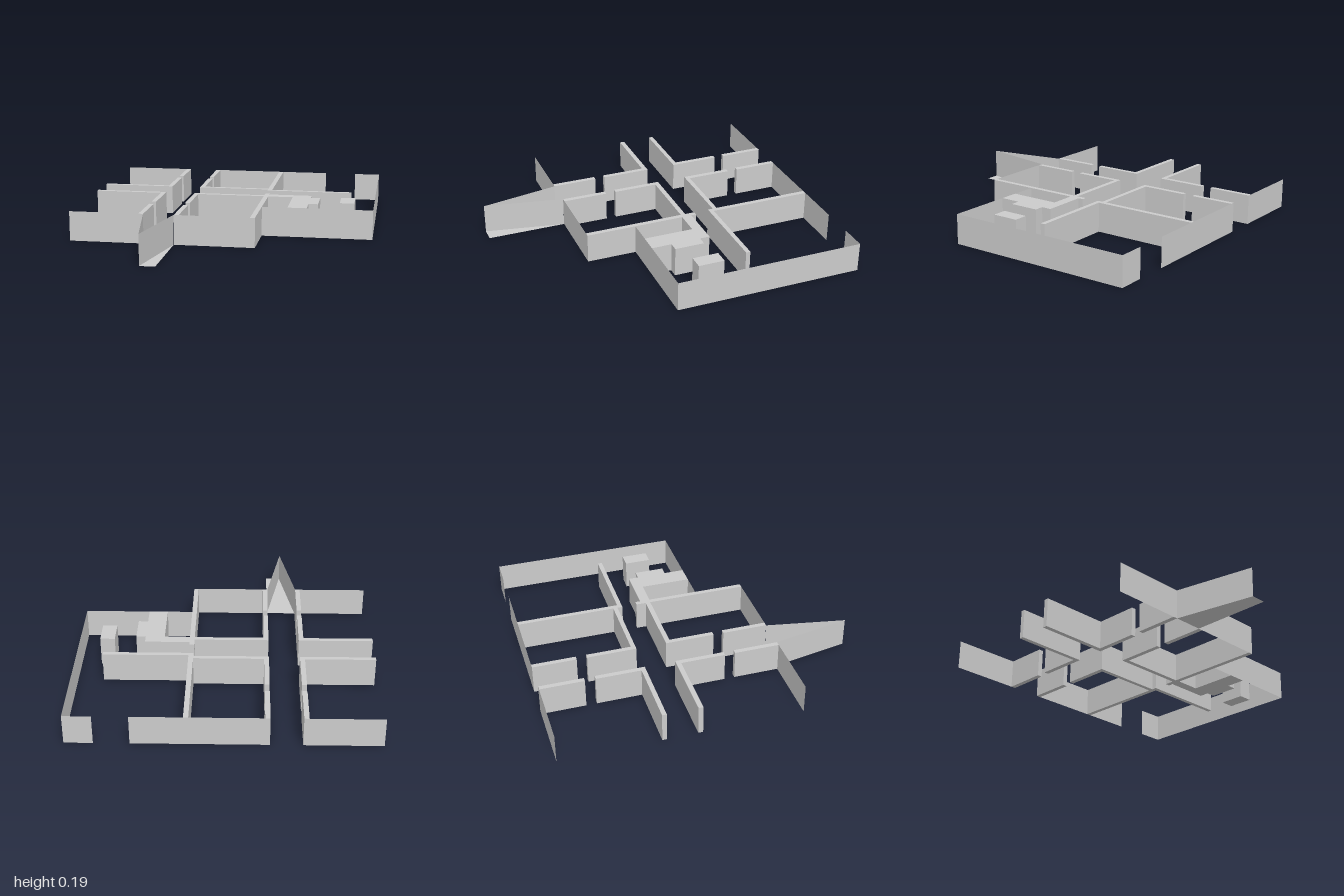
import * as THREE from 'three';

const H = 0.186; // common wall height

export function createModel() {
  const model = new THREE.Group();
  model.name = 'floorPlan';
  const mat = new THREE.MeshStandardMaterial({ color: 0xcccccc, flatShading: true });
  const thin = new THREE.MeshStandardMaterial({ color: 0xcccccc, flatShading: true, side: THREE.DoubleSide });

  const add = (name, geometry, material = mat) => {
    const mesh = new THREE.Mesh(geometry, material);
    mesh.name = name;
    model.add(mesh);
    return mesh;
  };
  // Full-height box over a plan rectangle
  const block = (name, x0, x1, z0, z1) =>
    add(name, new THREE.BoxGeometry(x1 - x0, H, z1 - z0))
      .position.set((x0 + x1) / 2, H / 2, (z0 + z1) / 2);
  // Plan outline as a shape; shape y is -z
  const plan = (points) => new THREE.Shape(points.map(([x, z]) => new THREE.Vector2(x, -z)));
  // Sheet wall without thickness between two plan points
  const sheet = (name, x0, z0, x1, z1) => {
    const wall = add(name, new THREE.PlaneGeometry(Math.hypot(x1 - x0, z1 - z0), H), thin);
    wall.position.set((x0 + x1) / 2, H / 2, (z0 + z1) / 2);
    wall.rotation.y = -Math.atan2(z1 - z0, x1 - x0);
  };

  // Corridor walls with door gaps, the same on both sides
  for (const x of [-0.485, -0.265])
    for (const [z0, z1] of [[-1, -0.725], [-0.66, -0.35], [-0.16, 0.15], [0.215, 0.5]])
      block('corridorWall', x, x + 0.03, z0, z1);

  // Cross passage walls
  for (const [x0, x1] of [[-0.92, -0.485], [-0.235, 0.2]]) {
    block('backPassageWall', x0, x1, -0.378, -0.35);
    block('frontPassageWall', x0, x1, -0.16, -0.13);
  }

  // Long dividing wall and the branch into the large room
  block('backDividingWall', 0.2, 0.23, -1, -0.317);
  block('frontDividingWall', 0.2, 0.23, -0.222, 0.5);
  block('branchWall', 0.23, 0.76, -0.345, -0.317);

  // Stepped counter and free-standing block
  const counter = add('steppedCounter', new THREE.ExtrudeGeometry(plan([
    [0.23, -0.19], [0.51, -0.19], [0.51, -0.127], [0.57, -0.127], [0.57, 0.06],
    [0.51, 0.06], [0.51, 0.187], [0.39, 0.187], [0.39, -0.127], [0.23, -0.127],
  ]), { depth: H, bevelEnabled: false }));
  counter.rotation.x = -Math.PI / 2;
  block('freeStandingBlock', 0.703, 0.795, -0.16, 0.005);

  // Outer sheet walls
  sheet('backWall', -0.92, -1, -0.485, -1);
  sheet('backWall', -0.235, -1, 0.2, -1);
  sheet('backWall', 0.23, -1, 0.54, -1);
  sheet('backWall', 0.75, -1, 0.92, -1);
  sheet('sideWall', 0.92, -1, 0.92, 0.187);
  sheet('frontWall', 0.23, 0.187, 0.92, 0.187);
  sheet('frontWall', -0.92, 0.5, -0.485, 0.5);
  sheet('frontWall', -0.235, 0.5, 0.2, 0.5);

  // Porch: floor plate with two sheet walls meeting at the tip
  const floor = add('porchFloor', new THREE.ShapeGeometry(plan([
    [-0.455, 0.5], [-0.267, 0.5], [-0.267, 1], [-0.36, 1],
  ])), thin);
  floor.rotation.x = -Math.PI / 2;
  sheet('porchWall', -0.455, 0.5, -0.36, 1);
  sheet('porchWall', -0.36, 1, -0.267, 0.5);

  return model;
}
